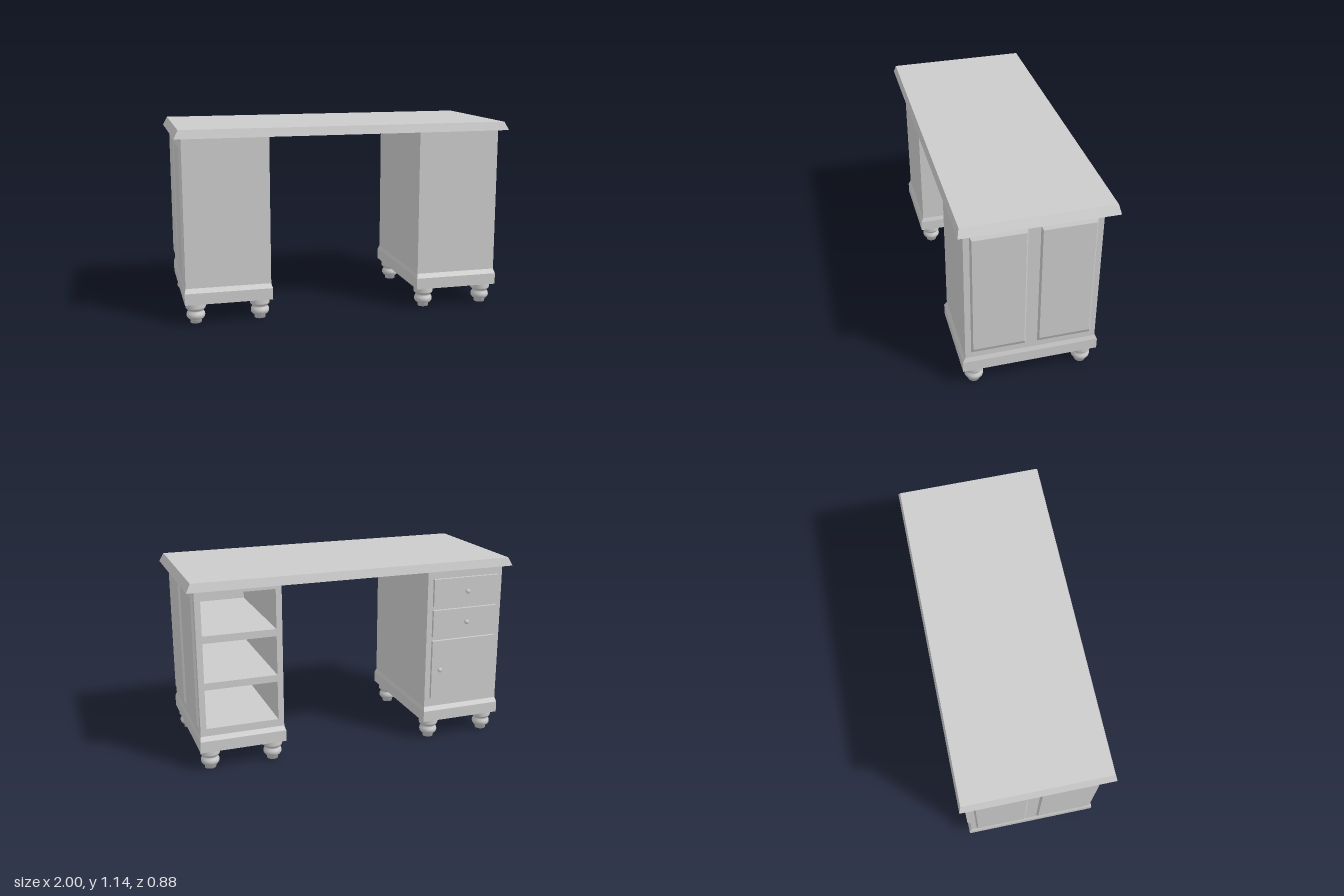
import * as THREE from 'three';

const material = new THREE.MeshStandardMaterial({ color: 0xcccccc });

function add(parent, name, geometry, x = 0, y = 0, z = 0) {
  const mesh = new THREE.Mesh(geometry, material);
  mesh.name = name;
  mesh.position.set(x, y, z);
  parent.add(mesh);
  return mesh;
}

// Box standing on y = 0 whose upper face has its own width and depth.
function taperedBox(w, d, topW, topD, h) {
  const geo = new THREE.BoxGeometry(w, h, d).toNonIndexed();
  const p = geo.attributes.position;
  for (let i = 0; i < p.count; i++) {
    if (p.getY(i) > 0) {
      p.setX(i, Math.sign(p.getX(i)) * topW / 2);
      p.setZ(i, Math.sign(p.getZ(i)) * topD / 2);
    }
  }
  geo.translate(0, h / 2, 0);
  geo.computeVertexNormals();
  return geo;
}

// Sharp-edged turned form: each profile segment is shaded on its own.
function turned(points, sides) {
  return new THREE.LatheGeometry(points.map(([r, y]) => new THREE.Vector2(r, y)), sides);
}

const W = 0.5, D = 0.765, BODY_Y = 0.22, BODY_TOP = 1.09;

function pedestal(name, side) {
  const group = new THREE.Group();
  group.name = name;

  // Plinth with sloped upper edge
  add(group, 'plinth', new THREE.BoxGeometry(0.515, 0.068, 0.796), 0, 0.159, 0);
  add(group, 'plinthSlope', taperedBox(0.515, 0.796, W, D, 0.027), 0, 0.193, 0);

  // Turned feet
  const foot = turned([
    [0, 0], [0.033, 0], [0.034, 0.022], [0.045, 0.026], [0.053, 0.037], [0.055, 0.048],
    [0.053, 0.06], [0.046, 0.07], [0.046, 0.077], [0.057, 0.088], [0.059, 0.094], [0.059, 0.126],
  ], 24);
  for (const x of [-0.19, 0.19]) {
    for (const z of [-0.325, 0.3225]) add(group, 'foot', foot, x, 0, z);
  }

  // Two raised panels on the outer side
  const panel = taperedBox(0.803, 0.315, 0.749, 0.295, 0.012);
  for (const z of [0.191, -0.1925]) {
    const mesh = add(group, 'sidePanel', panel, side * W / 2, 0.6585, z);
    mesh.rotation.z = -side * Math.PI / 2;
  }
  return group;
}

// Pedestal body with three deep compartments open at the back
function addOpenBody(group) {
  const shape = new THREE.Shape();
  const rect = (path, x, y0, y1) => {
    path.moveTo(-x, y0);
    path.lineTo(x, y0);
    path.lineTo(x, y1);
    path.lineTo(-x, y1);
    path.closePath();
    return path;
  };
  rect(shape, W / 2, BODY_Y, BODY_TOP);
  for (const [y0, y1] of [[0.265, 0.5], [0.542, 0.777], [0.82, 1.055]]) {
    shape.holes.push(rect(new THREE.Path(), 0.215, y0, y1));
  }
  const wall = 0.02;
  add(group, 'shelfCase',
    new THREE.ExtrudeGeometry(shape, { depth: D - wall, bevelEnabled: false }), 0, 0, -D / 2);
  add(group, 'frontWall', new THREE.BoxGeometry(W, BODY_TOP - BODY_Y, wall),
    0, (BODY_TOP + BODY_Y) / 2, (D - wall) / 2);
}

// Solid pedestal body with two drawers and a door at the back
function addDrawerBody(group) {
  add(group, 'drawerCase', new THREE.BoxGeometry(W, BODY_TOP - BODY_Y, D),
    0, (BODY_TOP + BODY_Y) / 2, 0);
  const knob = turned([
    [0.007, 0], [0.006, 0.012], [0.011, 0.015], [0.0145, 0.02], [0.0135, 0.026], [0.008, 0.03], [0, 0.031],
  ], 20);
  const fronts = [
    ['drawerFront', 0.867, 1.036, 0, 0.952],
    ['drawerFront', 0.677, 0.843, 0, 0.76],
    ['doorFront', 0.275, 0.65, 0.17, 0.468],
  ];
  for (const [name, y0, y1, knobX, knobY] of fronts) {
    add(group, name, new THREE.BoxGeometry(0.43, y1 - y0, 0.018), 0, (y0 + y1) / 2, -D / 2 - 0.009);
    add(group, 'knob', knob, knobX, knobY, -D / 2 - 0.017).rotation.x = -Math.PI / 2;
  }
}

export function createModel() {
  const desk = new THREE.Group();
  desk.name = 'desk';

  add(desk, 'tabletop', taperedBox(2, 0.874, 1.95, 0.85, 0.05), 0, 1.09, 0);

  const open = pedestal('shelfPedestal', 1);
  open.position.set(0.697, 0, 0.0175);
  addOpenBody(open);

  const closed = pedestal('drawerPedestal', -1);
  closed.position.set(-0.707, 0, -0.0075);
  addDrawerBody(closed);

  desk.add(open, closed);
  return desk;
}
